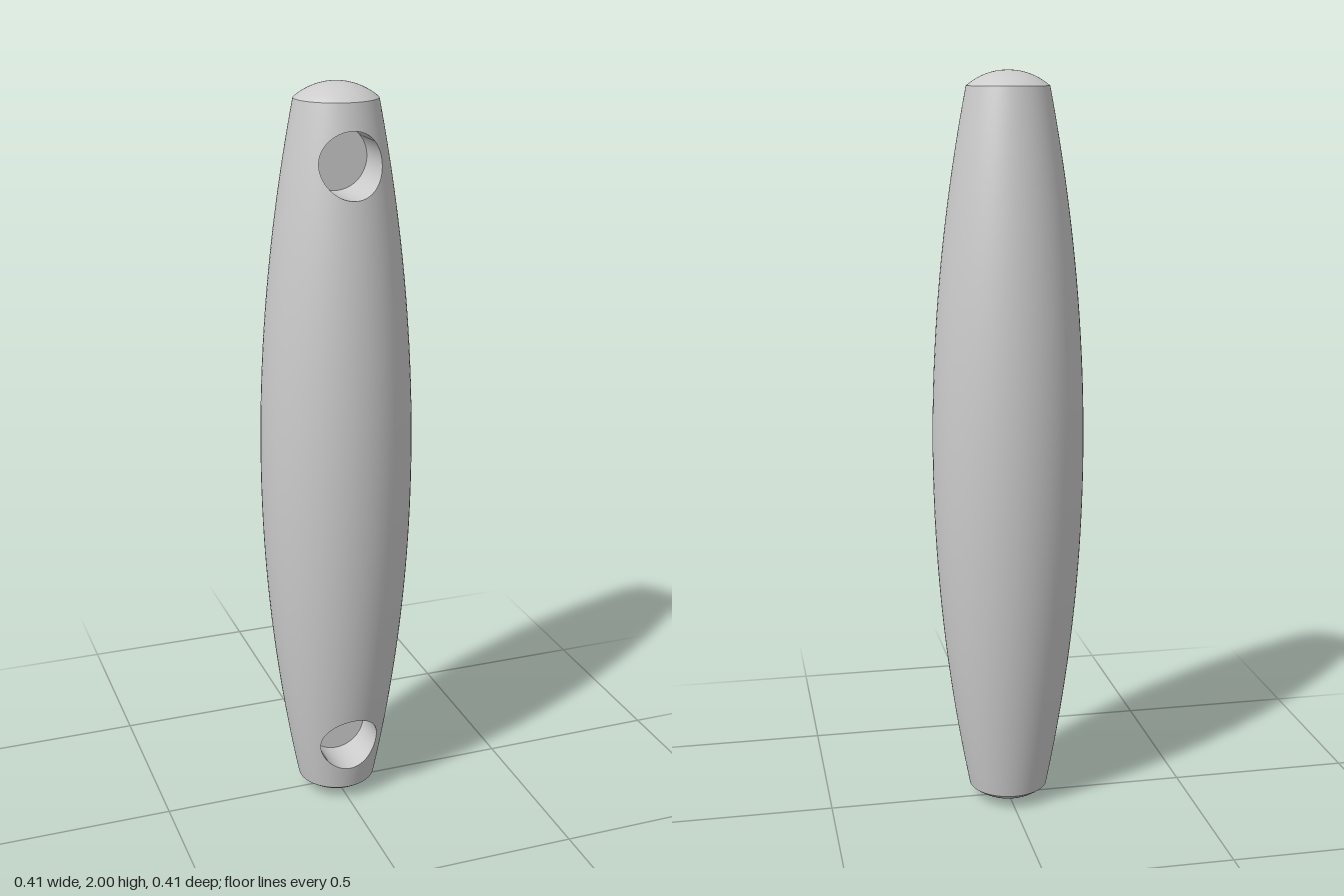
import * as THREE from 'three';

const SEG = 72;                 // segments around the body
const R_MID = 0.203, BULGE = 0.103;
const END = 0.04;               // height of the end domes
const HOLE_R = 0.083, HOLES = [0.19, 1.81];
const BAND = 0.12, SPAN = Math.PI / 3, N = 24; // patch around each hole

const radius = (y) => R_MID - BULGE * (y - 1) ** 2;
const lerp = THREE.MathUtils.lerp;

// Point and normal on the barrel surface, from angle around y and height
function barrel(a, y) {
  const r = radius(y), slope = -2 * BULGE * (y - 1);
  const n = new THREE.Vector3(Math.sin(a), -slope, Math.cos(a)).normalize();
  return { p: [r * Math.sin(a), y, r * Math.cos(a)], n: n.toArray() };
}

// Grid of quads from a function of column and row; skip() leaves cells open
function grid(cols, rows, fn, skip = () => false) {
  const pos = [], nor = [], idx = [];
  for (let j = 0; j <= rows; j++) {
    for (let i = 0; i <= cols; i++) {
      const { p, n } = fn(i, j);
      pos.push(...p);
      nor.push(...n);
      if (i === cols || j === rows || skip(i, j)) continue;
      const a = j * (cols + 1) + i, b = a + 1, d = a + cols + 1, c = d + 1;
      idx.push(a, b, c, a, c, d);
    }
  }
  const g = new THREE.BufferGeometry();
  g.setAttribute('position', new THREE.Float32BufferAttribute(pos, 3));
  g.setAttribute('normal', new THREE.Float32BufferAttribute(nor, 3));
  g.setIndex(idx);
  return g;
}

// Column i of the ring around a hole: circle direction and square border point
function ring(i) {
  const k = Math.floor(i / N) % 4, t = ((i % N) / N) * 2 - 1;
  const ang = k * Math.PI / 2 + t * Math.PI / 4;
  const [sx, sy] = [[1, t], [-t, 1], [-1, -t], [t, -1]][k];
  return { cx: Math.cos(ang), cy: Math.sin(ang), sx, sy };
}

export function createModel() {
  const group = new THREE.Group();
  const mat = new THREE.MeshStandardMaterial({ color: 0xcccccc });
  const add = (name, geo, parent = group) => {
    const m = new THREE.Mesh(geo, mat);
    m.name = name;
    parent.add(m);
    return m;
  };

  // Row heights: finer beside the holes
  const ys = [END];
  const rowsTo = (y, n) => {
    const y0 = ys[ys.length - 1];
    for (let k = 1; k <= n; k++) ys.push(lerp(y0, y, k / n));
  };
  rowsTo(HOLES[0] - BAND, 3);
  rowsTo(HOLES[0] + BAND, N);
  rowsTo(HOLES[1] - BAND, 30);
  rowsTo(HOLES[1] + BAND, N);
  rowsTo(2 - END, 3);

  // Barrel body, open where the hole patches sit
  const angle = (i) => -SPAN + (i / SEG) * Math.PI * 2;
  add('body', grid(SEG, ys.length - 1, (i, j) => barrel(angle(i), ys[j]), (i, j) => {
    const mid = (ys[j] + ys[j + 1]) / 2;
    return i < N && HOLES.some((c) => Math.abs(mid - c) < BAND);
  }));

  HOLES.forEach((c, h) => {
    const hole = new THREE.Group();
    hole.name = h ? 'upperHole' : 'lowerHole';
    group.add(hole);
    const rim = (q) => {
      const y = c + HOLE_R * q.cy;
      return [Math.asin(HOLE_R * q.cx / radius(y)), y];
    };

    // Body surface from the square border in to the round rim
    add('holeSurround', grid(4 * N, 8, (i, j) => {
      const q = ring(i), [a, y] = rim(q), t = j / 8;
      return barrel(lerp(q.sx * SPAN, a, t), lerp(c + q.sy * BAND, y, t));
    }), hole);

    // Straight wall down to the middle of the body
    add('holeWall', grid(4 * N, 1, (i, j) => {
      const q = ring(i), p = barrel(...rim(q)).p;
      return { p: [p[0], p[1], j ? 0 : p[2]], n: [-q.cx, -q.cy, 0] };
    }), hole);

    add('holeFloor', new THREE.CircleGeometry(HOLE_R, 4 * N), hole).position.y = c;
  });

  // Shallow domes on both ends
  const rEnd = radius(2 - END);
  const rDome = (rEnd ** 2 + END ** 2) / (2 * END);
  const sweep = Math.asin(rEnd / rDome);
  const profile = [];
  for (let k = 0; k <= 14; k++) {
    const a = sweep * (1 - k / 14);
    profile.push(new THREE.Vector2(rDome * Math.sin(a), 2 - rDome + rDome * Math.cos(a)));
  }
  const dome = new THREE.LatheGeometry(profile, SEG);
  add('topDome', dome);
  const bottom = add('bottomDome', dome);
  bottom.rotation.x = Math.PI;
  bottom.position.y = 2;

  return group;
}
